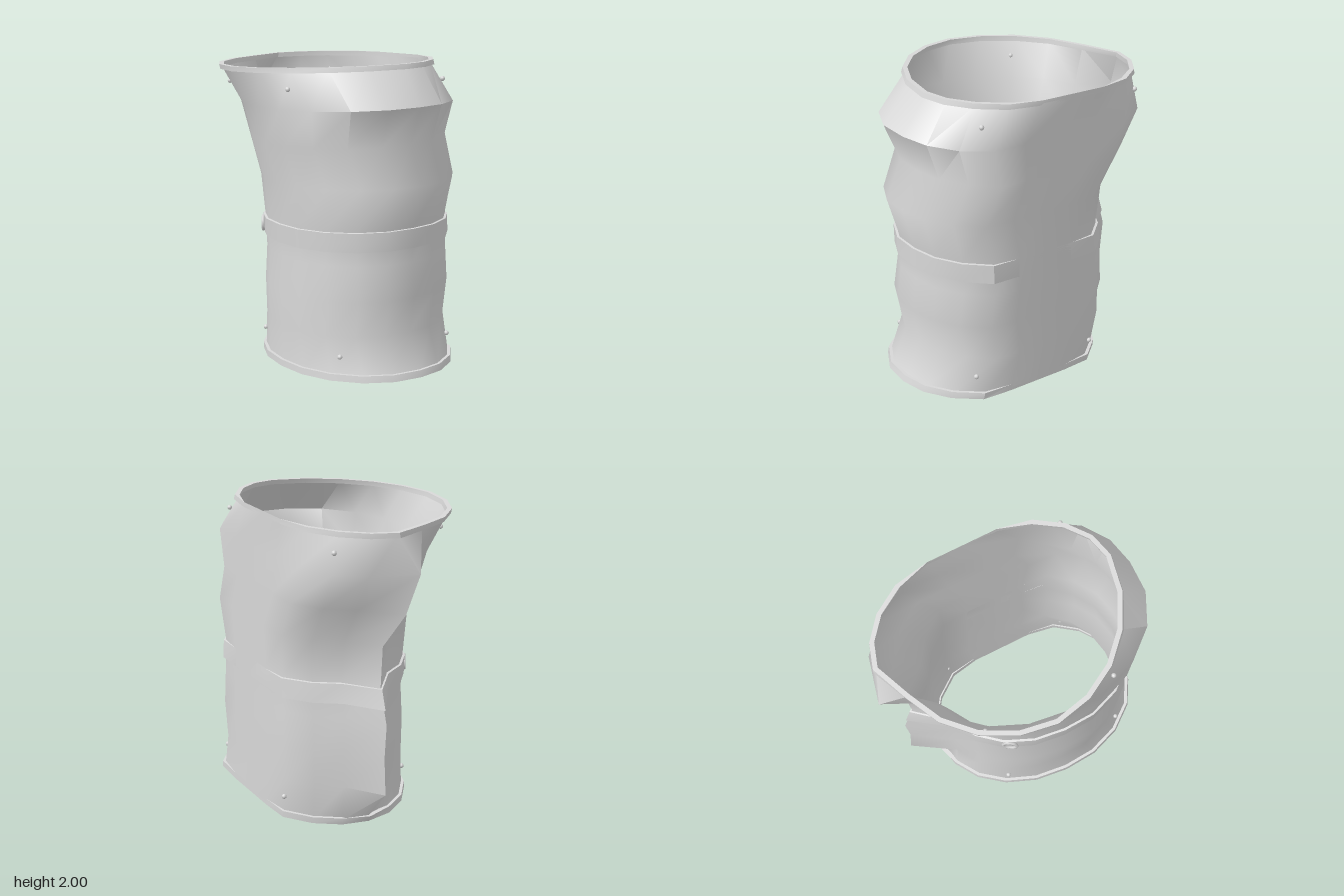
import * as THREE from 'three';
import { toCreasedNormals } from 'three/addons/utils/BufferGeometryUtils.js';

const SIDES = 20;
const FLAT_X = 0.625; // the sleeve is pressed flat on this side
const TILT = 0.06; // every level rises towards the front
const CENTRE_X = 0.16;
const RIDGE_ANGLE = Math.PI * 1.5; // a sharp fold runs up the back

// level, left x, right x before flattening, front z, back z on the left half,
// back z on the right half, x and z of the fold, swelling of the front left
const LEVELS = [
  [0.05, -0.4, 0.7, 0.885, -0.53, -0.53, 0.16, -0.53, 0.04],
  [0.295, -0.385, 0.72, 0.77, -0.51, -0.57, 0.17, -0.755, 0.06],
  [0.53, -0.4, 0.72, 0.815, -0.51, -0.57, 0.17, -0.74, 0.06],
  [0.75, -0.38, 0.72, 0.785, -0.51, -0.57, 0.17, -0.76, 0.06],
  [0.975, -0.395, 0.71, 0.785, -0.51, -0.53, 0.17, -0.69, 0.06],
  [1.235, -0.43, 0.72, 0.865, -0.53, -0.57, 0.17, -0.71, 0.05],
  [1.475, -0.465, 0.74, 0.75, -0.6, -0.73, 0.125, -0.885, 0.05],
  [1.71, -0.51, 0.76, 0.84, -0.7, -0.88, 0.04, -0.905, 0.07],
  [1.94, -0.605, 0.66, 0.67, -0.78, -0.83, 0.16, -0.84, -0.03],
];

// Point on the sleeve at a level and angle, pushed outwards by offset
function surfacePoint(level, angle, offset = 0) {
  let i = 0;
  while (i < LEVELS.length - 2 && level > LEVELS[i + 1][0]) i++;
  const low = LEVELS[i], high = LEVELS[i + 1];
  const t = THREE.MathUtils.clamp((level - low[0]) / (high[0] - low[0]), 0, 1);
  const [, left, right, front, backLeft, backRight, ridgeX, ridgeZ, swelling] =
    low.map((value, k) => THREE.MathUtils.lerp(value, high[k], t));
  const c = Math.cos(angle), s = Math.sin(angle);
  const centreZ = (front + backLeft) / 2;
  const swell = c < 0 && s > 0 ? 1 - swelling * 2 * c * s : 1;
  const radiusX = (c > 0 ? right - CENTRE_X : CENTRE_X - left) * swell + offset;
  const radiusZ = (s > 0 ? front - centreZ : centreZ - (c > 0 ? backRight : backLeft)) * swell + offset;
  const fold = Math.max(0, 1 - Math.abs(angle - RIDGE_ANGLE) / (Math.PI * 2 / SIDES));
  const x = THREE.MathUtils.lerp(CENTRE_X + radiusX * c, ridgeX, fold);
  const z = THREE.MathUtils.lerp(centreZ + radiusZ * s, ridgeZ - offset, fold);
  return new THREE.Vector3(Math.min(FLAT_X, x), level + TILT * z, z);
}

// Skin over loops given as [level, offset], from bottom to top on the outside
function skin(loops, crease) {
  const positions = [], index = [];
  for (const [level, offset] of loops) {
    for (let j = 0; j < SIDES; j++) {
      positions.push(...surfacePoint(level, (j / SIDES) * Math.PI * 2, offset));
    }
  }
  for (let i = 0; i < loops.length - 1; i++) {
    for (let j = 0; j < SIDES; j++) {
      const k = (j + 1) % SIDES;
      const a = i * SIDES + j, b = i * SIDES + k;
      index.push(a, a + SIDES, b, b, a + SIDES, b + SIDES);
    }
  }
  const geometry = new THREE.BufferGeometry();
  geometry.setAttribute('position', new THREE.Float32BufferAttribute(positions, 3));
  geometry.setIndex(index);
  return toCreasedNormals(geometry, crease);
}

export function createModel() {
  const model = new THREE.Group();
  const metal = new THREE.MeshStandardMaterial({ color: 0xd8d8d8, side: THREE.DoubleSide });
  metal.name = 'grey metal';

  const add = (name, geometry) => {
    const mesh = new THREE.Mesh(geometry, metal);
    mesh.name = name;
    model.add(mesh);
    return mesh;
  };

  // Dented open sleeve
  add('sleeve', skin(LEVELS.map((row) => [row[0], 0]), 0.93));

  // Rolled rims, each a closed box section
  const rim = (low, high) => skin(
    [[low, -0.01], [low, 0.02], [high, 0.02], [high, -0.01], [low, -0.01]], 0.6);
  add('bottomRim', rim(0.033, 0.075));
  add('topRim', rim(1.928, 1.959));

  // Waist band with a small ring
  add('waistBand', skin([[0.84, 0], [0.842, 0.015], [0.963, 0.015], [0.965, 0]], 0.6));
  const ring = add('bandRing', new THREE.TorusGeometry(0.046, 0.011, 6, 12));
  ring.position.copy(surfacePoint(0.905, Math.PI * 1.18, 0.016));
  ring.rotation.y = 1.0;

  // Rivets near both rims
  const rivet = new THREE.SphereGeometry(0.016, 8, 6);
  const rows = [[1.835, [47, 307, 150, 215]], [0.18, [44, 324, 137, 214]]];
  for (const [level, angles] of rows) {
    for (const degrees of angles) {
      add('rivet', rivet).position.copy(surfacePoint(level, THREE.MathUtils.degToRad(degrees), 0.006));
    }
  }
  return model;
}
